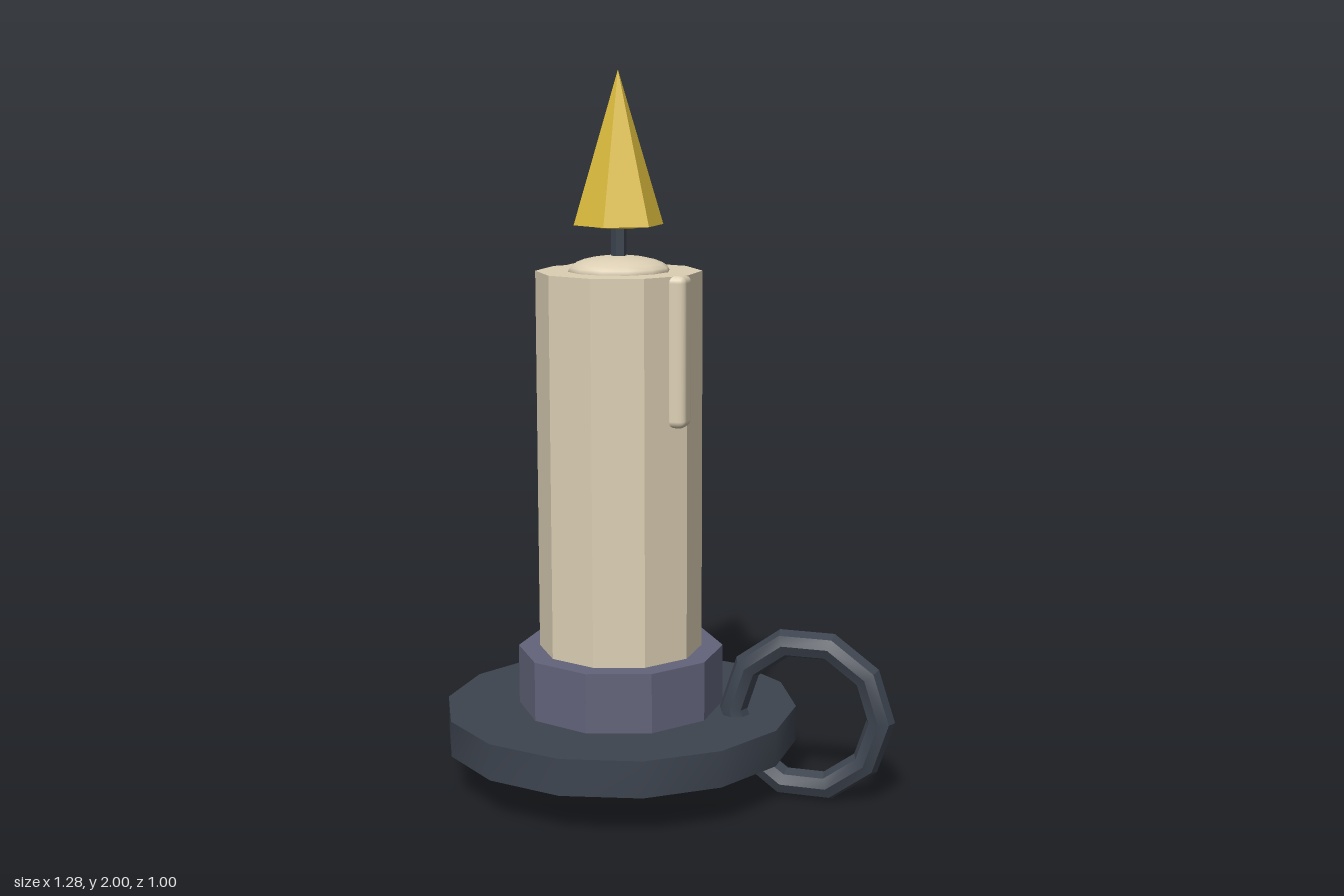
import * as THREE from 'three';
import { toCreasedNormals } from 'three/addons/utils/BufferGeometryUtils.js';
import { RoundedBoxGeometry } from 'three/addons/geometries/RoundedBoxGeometry.js';

const CX = -0.155; // candle axis

function material(name, color) {
  const m = new THREE.MeshStandardMaterial({ color });
  m.name = name;
  return m;
}

export function createModel() {
  const iron = material('dark iron', 0x3d444f);
  const pewter = material('pewter', 0x62647a);
  const wax = material('wax', 0xdccfb4);
  const flameYellow = material('flame yellow', 0xdcbc3e);

  const model = new THREE.Group();
  model.name = 'candleHolder';

  function add(name, geometry, mat, x, y, z = 0) {
    const mesh = new THREE.Mesh(geometry, mat);
    mesh.name = name;
    mesh.position.set(x, y, z);
    model.add(mesh);
    return mesh;
  }

  // Upright prism or cone on the candle axis between two heights
  function column(name, mat, rTop, rBottom, y0, y1, sides) {
    const g = new THREE.CylinderGeometry(rTop, rBottom, y1 - y0, sides);
    return add(name, toCreasedNormals(g, Math.PI / 6), mat, CX, (y0 + y1) / 2);
  }

  // Holder
  column('dish', iron, 0.5, 0.5, 0.12, 0.222, 14);
  column('socket', pewter, 0.29, 0.29, 0.222, 0.39, 10);

  // Ring handle
  const ring = new THREE.TorusGeometry(0.21, 0.04, 8, 10);
  add('ringHandle', toCreasedNormals(ring, Math.PI / 6), iron, 0.39, 0.24);

  // Candle with a low dome of melted wax
  column('candle', wax, 0.23, 0.23, 0.39, 1.457, 10);
  const dome = new THREE.SphereGeometry(0.142, 12, 6, 0, Math.PI * 2, 0, Math.PI / 2);
  dome.scale(1, 0.3, 1);
  add('meltedWax', dome, wax, CX, 1.457);

  // Wax drips: centre x, centre z, lower end
  for (const [x, z, y0] of [[0.042, 0.083, 1.045], [-0.33, -0.13, 1.185]]) {
    const top = 1.459;
    add('waxDrip', new RoundedBoxGeometry(0.06, top - y0, 0.076, 2, 0.02), wax, x, (y0 + top) / 2, z);
  }

  // Wick and flame
  column('wick', iron, 0.022, 0.022, 1.48, 1.6, 6);
  column('flameBase', flameYellow, 0.07, 0.06, 1.575, 1.585, 6);
  column('flame', flameYellow, 0, 0.125, 1.583, 2.0, 6);

  return model;
}
